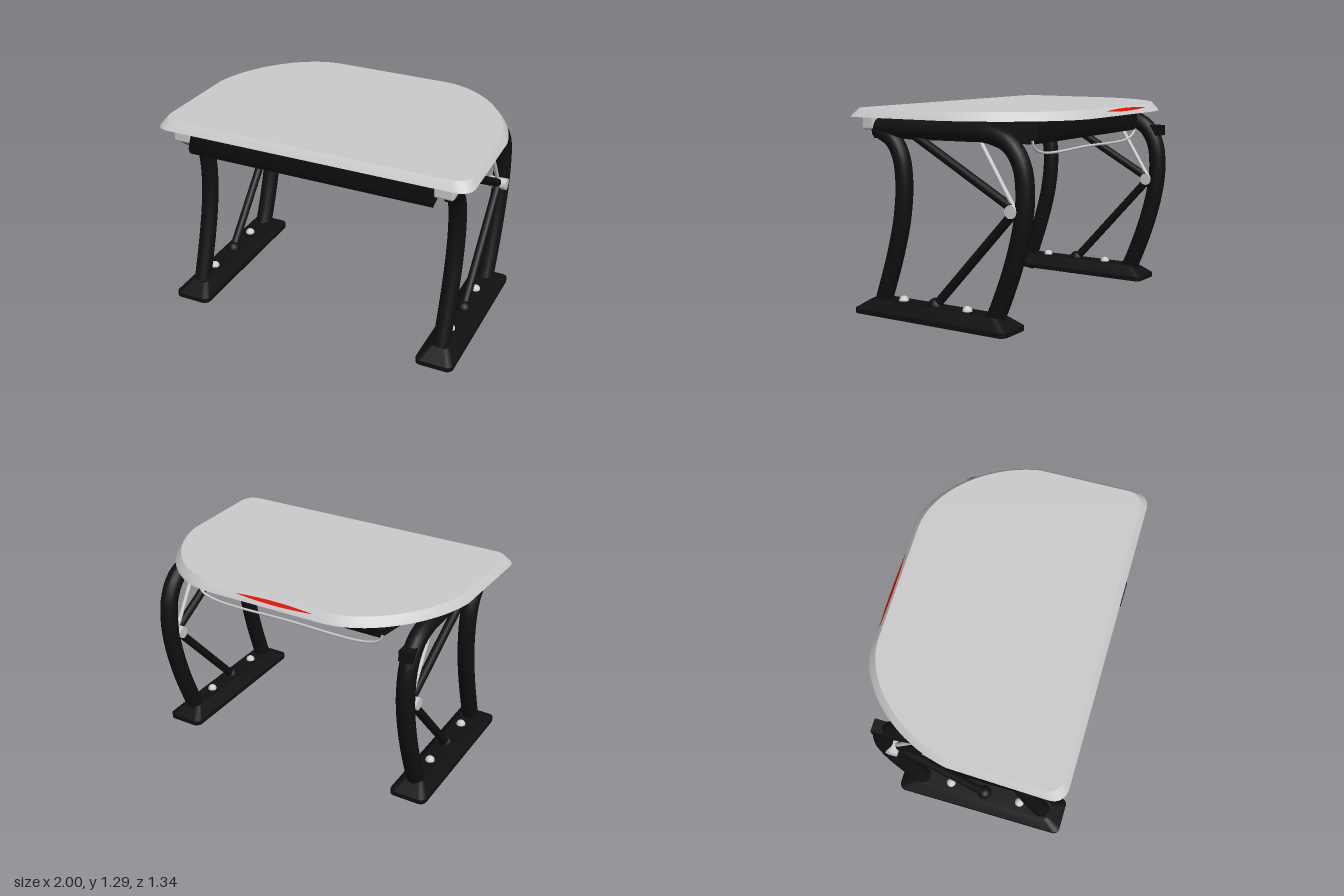
import * as THREE from 'three';
import { toCreasedNormals } from 'three/addons/utils/BufferGeometryUtils.js';
import { RoundedBoxGeometry } from 'three/addons/geometries/RoundedBoxGeometry.js';

const grey = new THREE.MeshStandardMaterial({ color: 0xcccccc });
const black = new THREE.MeshStandardMaterial({ color: 0x101010 });
const red = new THREE.MeshStandardMaterial({ color: 0xdd1100, side: THREE.DoubleSide });

const v = (x, y, z) => new THREE.Vector3(x, y, z);

function add(parent, name, geometry, material, x = 0, y = 0, z = 0) {
  const mesh = new THREE.Mesh(geometry, material);
  mesh.name = name;
  mesh.position.set(x, y, z);
  parent.add(mesh);
  return mesh;
}

// Upright extrusion of a plan (x, -z); each level is [y, scaleX, scaleZ]
function slab(shape, levels) {
  const n = levels.length - 1;
  const geo = new THREE.ExtrudeGeometry(shape, { depth: 1, steps: n, bevelEnabled: false, curveSegments: 20 });
  geo.rotateX(-Math.PI / 2);
  const p = geo.attributes.position;
  for (let i = 0; i < p.count; i++) {
    const [y, sx, sz] = levels[Math.round(p.getY(i) * n)];
    p.setXYZ(i, p.getX(i) * sx, y, p.getZ(i) * sz);
  }
  return toCreasedNormals(geo, 0.5);
}

// Bent pipe in the yz plane, through [z, y] points, with closed ends
function pipe(parent, name, points, radius) {
  const path = points.map(([z, y]) => v(0, y, z));
  const curve = new THREE.CatmullRomCurve3(path);
  add(parent, name, new THREE.TubeGeometry(curve, 48, radius, 16), black);
  for (const t of [0, 1]) {
    const cap = add(parent, name + 'Cap', new THREE.CircleGeometry(radius, 16), black);
    const end = curve.getPointAt(t);
    cap.position.copy(end);
    cap.lookAt(end.clone().addScaledVector(curve.getTangentAt(t), t ? 1 : -1));
  }
}

// Straight rod between two [z, y] points
function rod(parent, name, a, b, radius, material) {
  const from = v(0, a[1], a[0]), to = v(0, b[1], b[0]);
  const mesh = add(parent, name, new THREE.CylinderGeometry(radius, radius, from.distanceTo(to), 14), material);
  mesh.position.copy(from).lerp(to, 0.5);
  mesh.quaternion.setFromUnitVectors(v(0, 1, 0), to.sub(from).normalize());
}

function dome(parent, name, radius, z, material) {
  add(parent, name, new THREE.SphereGeometry(radius, 16, 10), material, 0, 0.12, z);
}

function tabletopShape() {
  const s = new THREE.Shape();
  s.moveTo(-0.91, -0.66);
  s.lineTo(0.91, -0.66);
  s.quadraticCurveTo(1, -0.65, 1, -0.56);
  s.lineTo(0.985, 0.03);
  s.bezierCurveTo(0.93, 0.36, 0.66, 0.67, 0.38, 0.67);
  s.lineTo(-0.38, 0.67);
  s.bezierCurveTo(-0.66, 0.67, -0.93, 0.36, -0.985, 0.03);
  s.lineTo(-1, -0.56);
  s.quadraticCurveTo(-1, -0.65, -0.91, -0.66);
  return s;
}

function footShape() {
  const w = 0.118, d = 0.55, r = 0.04;
  const s = new THREE.Shape();
  s.absarc(w - r, d - r, r, 0, Math.PI / 2);
  s.absarc(r - w, d - r, r, Math.PI / 2, Math.PI);
  s.absarc(r - w, r - d, r, Math.PI, Math.PI * 1.5);
  s.absarc(w - r, r - d, r, Math.PI * 1.5, Math.PI * 2);
  return s;
}

function buildTray() {
  const tray = new THREE.Group();
  tray.name = 'tray';
  tray.position.z = 0.1;
  const trapezoid = (inset) => [[-0.78 + inset, -0.545 + inset], [0.78 - inset, -0.545 + inset],
    [0.63 - inset, 0.545 - inset], [-0.63 + inset, 0.545 - inset]].map(([x, y]) => new THREE.Vector2(x, y));
  const wall = new THREE.Shape(trapezoid(0));
  wall.holes.push(new THREE.Path(trapezoid(0.03)));
  add(tray, 'trayWall', slab(wall, [[1.085, 1, 0.96], [1.125, 0.995, 1], [1.222, 0.965, 1]]), black);

  // Slatted floor, narrowing to the back
  const count = 8, step = 1.02 / count;
  for (let i = 0; i < count; i++) {
    const z = 0.51 - step * (i + 0.5);
    const width = 2 * (0.695 + z * 0.138);
    add(tray, 'traySlat', new THREE.BoxGeometry(width, 0.02, step - 0.025), black, 0, 1.105, z);
  }
  for (const x of [-0.6, 0.6]) {
    add(tray, 'trayRail', new THREE.BoxGeometry(0.05, 0.02, 1.04), black, x, 1.12, 0);
  }
  return tray;
}

function buildSide(side) {
  const g = new THREE.Group();
  g.name = side > 0 ? 'leftLegFrame' : 'rightLegFrame';
  g.position.x = side * 0.835;

  add(g, 'foot', slab(footShape(), [[0.03, 1, 1], [0.06, 1, 1], [0.12, 0.5, 0.83]]), black, 0, 0, 0.12);
  pipe(g, 'frontLeg', [[0.555, 0.02], [0.505, 0.16], [0.425, 0.4], [0.37, 0.62], [0.35, 0.83],
    [0.37, 0.99], [0.43, 1.09], [0.54, 1.15]], 0.053);
  pipe(g, 'backLeg', [[-0.27, 0.05], [-0.33, 0.18], [-0.42, 0.42], [-0.48, 0.65], [-0.498, 0.83],
    [-0.475, 0.99], [-0.4, 1.1], [-0.27, 1.15], [-0.05, 1.158], [0.3, 1.158], [0.55, 1.158]], 0.055);

  // Bracing meeting at the hub on the back leg
  const hub = [-0.435, 0.735];
  rod(g, 'lowerBrace', [0.13, 0.12], hub, 0.027, black);
  rod(g, 'upperBrace', [0.34, 1.16], hub, 0.027, black);
  rod(g, 'stayRod', [-0.19, 1.125], hub, 0.013, grey);
  add(g, 'braceHub', new THREE.CylinderGeometry(0.038, 0.038, 0.116, 20), grey, 0, hub[1], hub[0])
    .rotation.z = Math.PI / 2;
  add(g, 'braceJoint', new THREE.SphereGeometry(0.045, 16, 10), black, 0, 1.155, 0.335);

  dome(g, 'braceFoot', 0.048, 0.13, black);
  dome(g, 'frontBolt', 0.03, 0.37, grey);
  dome(g, 'backBolt', 0.03, -0.1, grey);
  add(g, 'topMount', new RoundedBoxGeometry(0.118, 0.085, 0.09, 1, 0.014), grey, 0, 1.187, 0.577);
  return g;
}

export function createModel() {
  const model = new THREE.Group();
  model.name = 'desk';

  add(model, 'tabletop', slab(tabletopShape(), [[1.225, 1, 1], [1.235, 0.995, 0.992], [1.275, 0.965, 0.94]]), grey);
  model.add(buildTray());
  for (const side of [-1, 1]) model.add(buildSide(side));

  // Small bracket behind the right leg only
  add(model, 'legBracket', new THREE.BoxGeometry(0.08, 0.068, 0.12), black, -0.835, 1.07, -0.47);

  // Wire loop hanging under the back of the tray
  const loop = new THREE.CatmullRomCurve3([v(-0.64, 1.11, -0.42), v(-0.62, 1.065, -0.42), v(-0.52, 1.03, -0.42),
    v(0, 1.027, -0.42), v(0.52, 1.03, -0.42), v(0.62, 1.065, -0.42), v(0.64, 1.11, -0.42)]);
  add(model, 'wireLoop', new THREE.TubeGeometry(loop, 60, 0.008, 8), grey);

  // Slim accent on the back bevel
  const accent = new THREE.Shape();
  accent.moveTo(-0.26, 0);
  accent.quadraticCurveTo(0, 0.024, 0.26, 0);
  accent.quadraticCurveTo(0, -0.024, -0.26, 0);
  add(model, 'backAccent', new THREE.ShapeGeometry(accent), red, -0.06, 1.256, -0.652).rotation.x = 0.72;
  return model;
}
